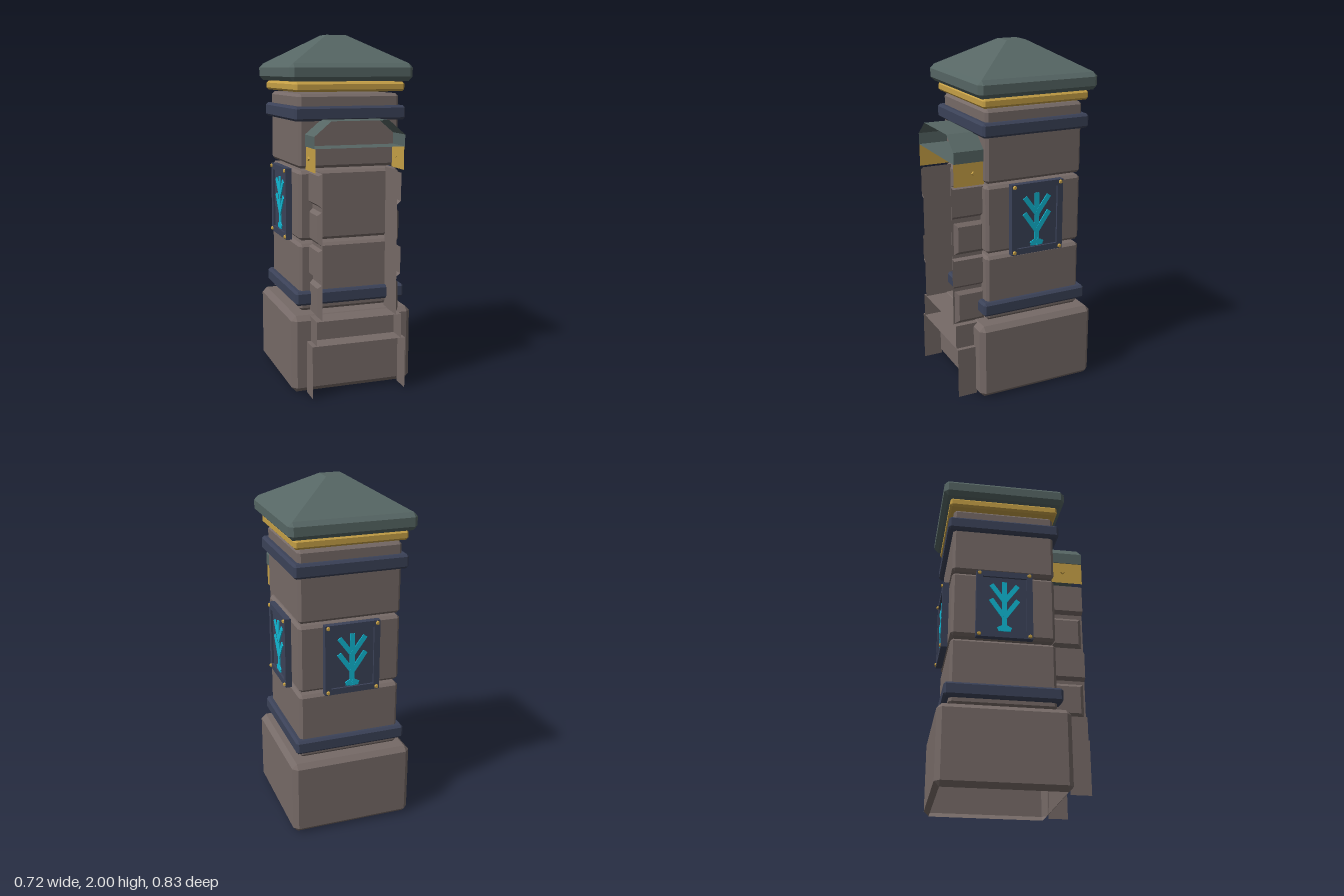
import * as THREE from 'three';
import { ConvexGeometry } from 'three/addons/geometries/ConvexGeometry.js';

const CZ = -0.055; // z of the pillar axis

const mat = (name, color) => {
  const m = new THREE.MeshStandardMaterial({ color, side: THREE.DoubleSide, flatShading: true });
  m.name = name;
  return m;
};

// Corner points of a box with every edge chamfered by c
function chamferPoints(hx, y0, y1, hz, c) {
  const pts = [];
  const cy = (y0 + y1) / 2, hy = (y1 - y0) / 2;
  for (const sx of [-1, 1]) for (const sy of [-1, 1]) for (const sz of [-1, 1]) {
    for (const [a, b, d] of [[0, c, c], [c, 0, c], [c, c, 0]]) {
      pts.push(new THREE.Vector3(sx * (hx - a), cy + sy * (hy - b), sz * (hz - d)));
    }
  }
  return pts;
}

// Drops the flat underside so the shape is hollow from below
function openBottom(geo, y0) {
  const p = geo.attributes.position, out = [];
  for (let i = 0; i < p.count; i += 3) {
    if ([0, 1, 2].every(k => Math.abs(p.getY(i + k) - y0) < 1e-5)) continue;
    for (let k = 0; k < 3; k++) out.push(p.getX(i + k), p.getY(i + k), p.getZ(i + k));
  }
  const g = new THREE.BufferGeometry();
  g.setAttribute('position', new THREE.Float32BufferAttribute(out, 3));
  g.computeVertexNormals();
  return g;
}

// Sheet that sweeps an x/y polyline along z, open at both ends
function sheet(profile, z0, z1) {
  const out = [];
  for (let i = 0; i + 1 < profile.length; i++) {
    const [ax, ay] = profile[i], [bx, by] = profile[i + 1];
    out.push(ax, ay, z0, ax, ay, z1, bx, by, z1, ax, ay, z0, bx, by, z1, bx, by, z0);
  }
  const g = new THREE.BufferGeometry();
  g.setAttribute('position', new THREE.Float32BufferAttribute(out, 3));
  g.computeVertexNormals();
  return g;
}

export function createModel() {
  const stone = mat('stone', 0x766a67);
  const navy = mat('navy', 0x3b4258);
  const green = mat('roofGreen', 0x566664);
  const gold = mat('gold', 0xc6a046);
  const cyan = mat('cyan', 0x10b8d4);

  const model = new THREE.Group();
  const add = (name, geo, material, parent = model) => {
    const m = new THREE.Mesh(geo, material);
    m.name = name;
    parent.add(m);
    return m;
  };

  // Square pillar, stacked around its own axis
  const pillar = new THREE.Group();
  pillar.name = 'pillar';
  pillar.position.z = CZ;
  model.add(pillar);
  const slab = (name, h, y0, y1, c, m) =>
    add(name, new ConvexGeometry(chamferPoints(h, y0, y1, h, c)), m, pillar);

  add('base', openBottom(new ConvexGeometry(chamferPoints(0.358, 0, 0.445, 0.36, 0.028)), 0), stone, pillar);
  slab('lowerBlock', 0.295, 0.458, 0.842, 0.016, stone);
  slab('middleBlock', 0.295, 0.862, 1.252, 0.016, stone);
  slab('upperBlock', 0.295, 1.266, 1.674, 0.016, stone);
  slab('lowerBand', 0.325, 0.495, 0.575, 0.013, navy);
  slab('upperBand', 0.325, 1.527, 1.607, 0.013, navy);
  slab('goldBand', 0.32, 1.685, 1.738, 0.012, gold);

  // Hipped roof with a small flat top
  const roofPts = chamferPoints(0.358, 1.742, 1.84, 0.36, 0.024);
  for (const sx of [-1, 1]) for (const sz of [-1, 1]) roofPts.push(new THREE.Vector3(sx * 0.058, 2, sz * 0.058));
  add('roof', new ConvexGeometry(roofPts), green, pillar);

  // Framed panel with an emblem, built facing +z
  function panel(name) {
    const g = new THREE.Group();
    g.name = name;
    const back = add('panelPlate', new THREE.BoxGeometry(0.3, 0.39, 0.026), navy, g);
    back.position.z = 0.013;
    const w = 0.16, h = 0.205, iw = 0.125, ih = 0.17;
    const frame = new THREE.Shape([[-w, -h], [w, -h], [w, h], [-w, h]].map(p => new THREE.Vector2(...p)));
    frame.holes.push(new THREE.Path([[-iw, -ih], [-iw, ih], [iw, ih], [iw, -ih]].map(p => new THREE.Vector2(...p))));
    const rim = add('panelFrame', new THREE.ExtrudeGeometry(frame, { depth: 0.036, bevelEnabled: false }), navy, g);
    rim.position.z = 0.002;
    for (const sx of [-1, 1]) for (const sy of [-1, 1]) {
      const r = add('panelRivet', new THREE.CylinderGeometry(0.009, 0.013, 0.01, 6), gold, g);
      r.rotation.x = Math.PI / 2;
      r.position.set(sx * 0.143, sy * 0.19, 0.042);
    }
    // Emblem strokes: x0, y0, x1, y1, width
    const strokes = [[0, -0.14, 0, 0.142, 0.028]];
    for (const s of [-1, 1]) {
      strokes.push([0, 0.02, s * 0.075, 0.122, 0.028], [0, -0.08, s * 0.077, 0.03, 0.028],
        [0, -0.135, s * 0.036, -0.155, 0.026], [0, -0.158, s * 0.036, -0.155, 0.016]);
    }
    strokes.forEach(([x0, y0, x1, y1, width], i) => {
      const s = add('emblemStroke', new THREE.BoxGeometry(Math.hypot(x1 - x0, y1 - y0), width, 0.006), cyan, g);
      s.position.set((x0 + x1) / 2, (y0 + y1) / 2, 0.029 + i * 0.0002);
      s.rotation.z = Math.atan2(y1 - y0, x1 - x0);
    });
    pillar.add(g);
    return g;
  }
  [['leftPanel', Math.PI / 2], ['rightPanel', -Math.PI / 2], ['backPanel', Math.PI]].forEach(([name, a]) => {
    const g = panel(name);
    g.rotation.y = a;
    g.position.set(Math.sin(a) * 0.297, 1.05, Math.cos(a) * 0.297);
  });

  // Front doorway: stepped plinth
  const Z0 = 0.235, Z1 = 0.415;
  add('lowerStep', sheet([[-0.275, 0], [-0.275, 0.3], [0.275, 0.3], [0.275, 0]], 0.3, Z1), stone);
  add('upperStep', sheet([[-0.25, 0.3], [-0.25, 0.44], [0.25, 0.44], [0.25, 0.3]], Z0, Z1), stone);

  // Doorway side posts with quoin stones
  for (const s of [-1, 1]) {
    const side = s > 0 ? 'left' : 'right';
    add(side + 'Post', sheet([[s * 0.217, 0.44], [s * 0.217, 1.26]], Z0, Z1), stone);
    for (const [y0, y1] of [[0.66, 0.84], [1.07, 1.255]]) {
      add(side + 'LongStone', sheet([[s * 0.217, y0], [s * 0.24, y0 + 0.018], [s * 0.24, y1 - 0.01], [s * 0.217, y1]], Z0, Z1), stone);
    }
    for (const [y0, y1] of [[0.445, 0.64], [0.86, 1.045]]) {
      const pts = [];
      for (const [x, d] of [[0.2175, 0], [0.238, 0.02]])
        for (const y of [y0 + d, y1 - d]) for (const z of [0.225 + d, 0.405 - d]) pts.push(new THREE.Vector3(s * x, y, z));
      add(side + 'ShortStone', new ConvexGeometry(pts), stone);
    }
    // Gold capital with a small stud
    add(side + 'Capital', sheet([[s * 0.255, 1.26], [s * 0.255, 1.39]], Z0, Z1), gold);
    const stud = add(side + 'CapitalStud', new THREE.CylinderGeometry(0.01, 0.013, 0.012, 4), gold);
    stud.rotation.z = -s * Math.PI / 2;
    stud.position.set(s * 0.258, 1.328, 0.3);
  }

  // Doorway hood, open at the front
  add('hood', sheet([[-0.26, 1.39], [-0.26, 1.455], [-0.165, 1.535], [0.165, 1.535],
    [0.26, 1.455], [0.26, 1.39], [-0.26, 1.39]], Z0, Z1), green);

  return model;
}
